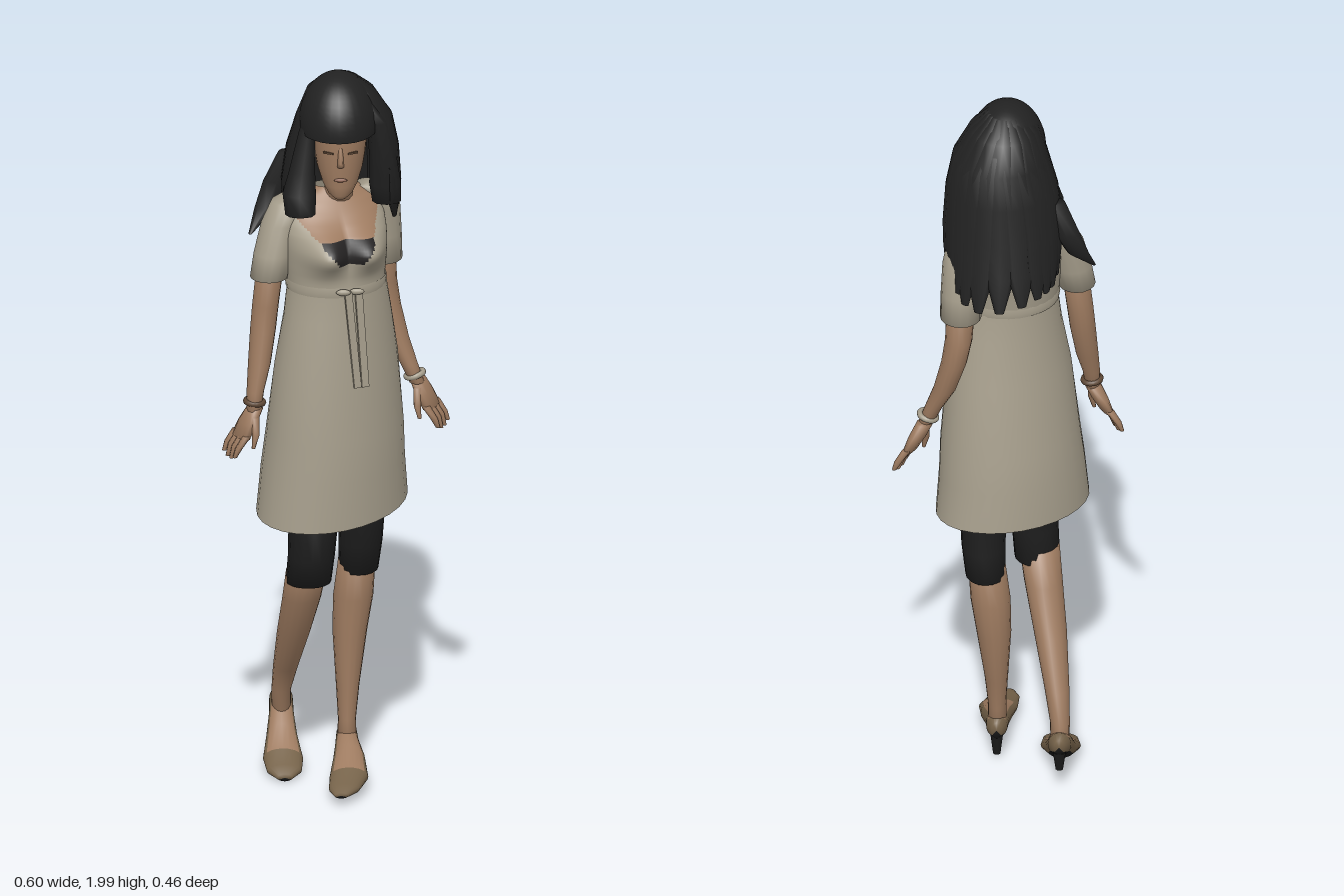
import * as THREE from 'three';

const mat = (name, color, side = THREE.FrontSide) => {
  const m = new THREE.MeshStandardMaterial({ color, side });
  m.name = name;
  return m;
};
const V = (x, y, z) => new THREE.Vector3(x, y, z);

// Horizontal ellipse section, front at angle PI/2; tilt is the rise along z
const ring = ([x, y, z, rx, rz, yaw = 0, tilt = 0]) => ({
  c: V(x, y, z),
  u: V(rx * Math.cos(yaw), -tilt * rx * Math.sin(yaw), -rx * Math.sin(yaw)),
  v: V(rz * Math.sin(yaw), tilt * rz * Math.cos(yaw), rz * Math.cos(yaw)),
});
// Upright section across z; the top is at angle PI/2
const slice = ([x, y, z, rx, ry]) => ({ c: V(x, y, z), u: V(rx, 0, 0), v: V(0, ry, 0) });

// Skin a surface through elliptical sections; pick(i, t) chooses a material index
function loft(sections, { seg = 16, caps = true, from = 0, to = Math.PI * 2, pick = () => 0 } = {}) {
  const closed = to - from > 6.28, cols = closed ? seg : seg + 1;
  const pos = [], buckets = [];
  const angle = (j) => from + (to - from) * j / seg;
  const add = (k, ...ids) => (buckets[k] ??= []).push(...ids);
  for (const { c, u, v } of sections) for (let j = 0; j < cols; j++) {
    const p = c.clone().addScaledVector(u, Math.cos(angle(j))).addScaledVector(v, Math.sin(angle(j)));
    pos.push(p.x, p.y, p.z);
  }
  for (let i = 0; i < sections.length - 1; i++) for (let j = 0; j < seg; j++) {
    const a = i * cols + j, b = i * cols + (j + 1) % cols;
    add(pick(i, angle(j + 0.5)), a, b, a + cols, b, b + cols, a + cols);
  }
  if (caps && closed) for (const i of [0, sections.length - 1]) {
    const n = pos.length / 3;
    pos.push(...sections[i].c.toArray());
    for (let j = 0; j < seg; j++) {
      const a = i * cols + j, b = i * cols + (j + 1) % cols;
      i ? add(pick(i - 1, angle(j + 0.5)), a, b, n) : add(pick(0, angle(j + 0.5)), b, a, n);
    }
  }
  // Turn the faces outward
  const o = sections[Math.floor(sections.length / 2)].c;
  const at = (i) => V(pos[3 * i], pos[3 * i + 1], pos[3 * i + 2]).sub(o);
  let volume = 0;
  for (const b of buckets) if (b) for (let k = 0; k < b.length; k += 3)
    volume += at(b[k]).dot(at(b[k + 1]).cross(at(b[k + 2])));
  const g = new THREE.BufferGeometry(), index = [];
  buckets.forEach((b, k) => {
    if (volume < 0) for (let q = 0; q < b.length; q += 3) [b[q], b[q + 1]] = [b[q + 1], b[q]];
    g.addGroup(index.length, b.length, k);
    index.push(...b);
  });
  g.setAttribute('position', new THREE.Float32BufferAttribute(pos, 3));
  g.setIndex(index);
  g.computeVertexNormals();
  return g;
}

export function createModel() {
  const model = new THREE.Group();
  model.name = 'standingWoman';
  const hair = mat('hair black', 0x222222, THREE.DoubleSide);
  const skin = mat('skin', 0x9e7b60);
  const dress = mat('dress beige', 0xa59d8b, THREE.DoubleSide);
  const shorts = mat('shorts black', 0x1e1e1e);
  const camisole = mat('camisole dark', 0x242222);
  const shoe = mat('shoe brown', 0x76634a);
  const sole = mat('sole black', 0x1a1a1a);
  const lip = mat('lips', 0x8c6250);
  const brown = mat('dark brown', 0x5e4836);
  const add = (name, geo, material) => {
    const m = new THREE.Mesh(geo, material);
    m.name = name;
    model.add(m);
    return m;
  };
  const body = (name, rows, material, opt) => add(name, loft(rows.map(ring), opt), material);

  // Skirt, open at the hem, wider from hip to hip
  body('skirt', [
    [-0.02, 0.78, 0, 0.226, 0.169, 0.76, -0.1], [-0.018, 0.9, 0.003, 0.211, 0.164, 0.74, -0.04],
    [-0.013, 1.0, 0.006, 0.2, 0.158, 0.72], [-0.009, 1.2, 0.017, 0.175, 0.134, 0.6],
    [-0.006, 1.33, 0.022, 0.147, 0.117, 0.42], [-0.008, 1.42, 0.024, 0.132, 0.112, 0.3],
  ], dress, { seg: 28, caps: false });
  body('waistband', [
    [-0.01, 1.405, 0.024, 0.134, 0.115, 0.3], [-0.01, 1.418, 0.024, 0.136, 0.117, 0.3],
    [-0.01, 1.432, 0.024, 0.134, 0.115, 0.3],
  ], dress, { seg: 28, caps: false });
  // Tie hanging from the waistband
  for (const [x, z, roll] of [[0.032, 0.145, 0.1], [0.056, 0.136, 0.07]]) {
    const r = add('tieRibbon', new THREE.BoxGeometry(0.02, 0.27, 0.008), dress);
    r.position.set(x, 1.29, z);
    r.rotation.set(-0.06, 0.35, roll);
  }
  for (const s of [-1, 1]) {
    const b = add('tieBow', new THREE.SphereGeometry(0.02, 10, 6), dress);
    b.scale.set(1, 0.45, 0.35);
    b.position.set(0.025 + s * 0.018, 1.423, 0.142 - s * 0.004);
  }

  // Bodice with a scooped neckline, turned to the model's left
  const coarse = [
    [0, 1.42, 0.025, 0.131, 0.113], [0, 1.47, 0.018, 0.136, 0.112], [0, 1.52, 0.006, 0.14, 0.108],
    [0, 1.56, -0.003, 0.143, 0.1], [0, 1.585, -0.01, 0.142, 0.09], [0, 1.61, -0.018, 0.136, 0.078],
    [0, 1.635, -0.025, 0.118, 0.064], [0, 1.655, -0.03, 0.085, 0.052], [0, 1.67, -0.03, 0.045, 0.04],
  ];
  const rows = [coarse[0]];
  for (let i = 1; i < coarse.length; i++) for (let k = 1; k <= 5; k++)
    rows.push(coarse[i].map((v, q) => THREE.MathUtils.lerp(coarse[i - 1][q], v, k / 5)));
  const torsoGeo = loft(rows.map(ring), {
    seg: 120, caps: false,
    pick: (i, t) => {
      const x = Math.abs(Math.cos(t)) * rows[i][3], y = rows[i][1];
      if (y > 1.652) return 2;
      if (Math.sin(t) < 0 || y < 1.5 || x > 0.035 + (y - 1.5) * 0.75) return 0;
      return y < 1.5585 ? 1 : 2;
    },
  });
  const p = torsoGeo.attributes.position;
  for (let i = 0; i < p.count; i++) if (p.getZ(i) > 0) {
    const dx = (Math.abs(p.getX(i)) - 0.06) / 0.06, dy = (p.getY(i) - 1.525) / 0.05;
    p.setZ(i, p.getZ(i) + 0.067 * Math.exp(-dx * dx - dy * dy));
  }
  torsoGeo.computeVertexNormals();
  const torso = add('bodice', torsoGeo, [dress, camisole, skin]);
  torso.position.x = -0.018;
  torso.rotation.y = 0.3;

  // Sleeves and arms
  body('leftSleeve', [[0.075, 1.655, -0.06, 0.03, 0.035], [0.1, 1.635, -0.075, 0.05, 0.05],
    [0.11, 1.58, -0.09, 0.052, 0.056], [0.112, 1.5, -0.103, 0.054, 0.058],
    [0.113, 1.425, -0.11, 0.055, 0.06]], dress);
  body('rightSleeve', [[-0.105, 1.655, 0, 0.03, 0.035], [-0.13, 1.635, 0.012, 0.05, 0.05],
    [-0.155, 1.58, 0.025, 0.052, 0.054], [-0.175, 1.5, 0.04, 0.052, 0.055],
    [-0.187, 1.435, 0.05, 0.05, 0.055]], dress);
  body('leftArm', [[0.112, 1.47, -0.108, 0.038, 0.04], [0.118, 1.36, -0.122, 0.036, 0.043],
    [0.13, 1.29, -0.122, 0.034, 0.042], [0.155, 1.2, -0.11, 0.03, 0.038],
    [0.185, 1.13, -0.094, 0.023, 0.027], [0.205, 1.08, -0.09, 0.02, 0.025]], skin);
  body('rightArm', [[-0.183, 1.47, 0.048, 0.036, 0.04], [-0.196, 1.36, 0.052, 0.035, 0.04],
    [-0.203, 1.29, 0.06, 0.034, 0.04], [-0.213, 1.2, 0.08, 0.03, 0.036],
    [-0.224, 1.13, 0.098, 0.023, 0.026], [-0.228, 1.08, 0.105, 0.02, 0.025]], skin);
  // Hands turned slightly outward, with four fingers and a thumb
  const hand = (name, s, x, y, z) => {
    const yaw = -s * 0.45;
    body(name, [[x, y, z, 0.022, 0.025, yaw], [x + s * 0.018, y - 0.04, z, 0.021, 0.038, yaw],
      [x + s * 0.036, y - 0.08, z, 0.015, 0.042, yaw]], skin, { seg: 12 });
    for (let i = -1.5; i < 2; i++) {
      const out = (d) => x + s * (d - i * 0.009);
      body('finger', [
        [out(0.034), y - 0.07, z + i * 0.019, 0.012, 0.012],
        [out(0.056), y - 0.105, z + i * 0.02, 0.01, 0.011],
        [out(0.066), y - 0.142 + Math.abs(i) * 0.008, z + i * 0.019, 0.006, 0.007],
      ], skin, { seg: 7 });
    }
    body('thumb', [[x, y - 0.02, z + 0.02, 0.012, 0.012], [x - s * 0.002, y - 0.065, z + 0.036, 0.01, 0.01],
      [x + s * 0.004, y - 0.1, z + 0.04, 0.005, 0.006]], skin, { seg: 7 });
  };
  hand('leftHand', 1, 0.208, 1.085, -0.104);
  hand('rightHand', -1, -0.226, 1.085, 0.105);
  for (const [name, m, x, z] of [['leftBracelet', dress, 0.2, -0.092], ['rightBracelet', brown, -0.226, 0.1]]) {
    const b = add(name, new THREE.TorusGeometry(0.023, 0.008, 8, 18), m);
    b.position.set(x, 1.1, z);
    b.rotation.set(Math.PI / 2, x > 0 ? 0.3 : -0.1, 0);
  }

  // Legs and shorts
  body('leftShorts', [[0.05, 0.98, 0, 0.078, 0.09], [0.057, 0.76, -0.008, 0.063, 0.082],
    [0.056, 0.66, -0.028, 0.058, 0.07], [0.05, 0.575, -0.04, 0.053, 0.061]], shorts);
  body('rightShorts', [[-0.06, 0.98, 0.03, 0.078, 0.09], [-0.07, 0.76, 0.075, 0.066, 0.086],
    [-0.076, 0.66, 0.085, 0.062, 0.072], [-0.083, 0.575, 0.055, 0.06, 0.06]], shorts);
  body('leftLeg', [[0.047, 0.61, -0.036, 0.049, 0.055], [0.037, 0.5, -0.04, 0.053, 0.058],
    [0.028, 0.4, -0.045, 0.046, 0.056], [0.022, 0.25, -0.03, 0.031, 0.042],
    [0.02, 0.16, -0.022, 0.024, 0.034], [0.02, 0.09, -0.018, 0.025, 0.036]], skin);
  body('rightLeg', [[-0.088, 0.61, 0.058, 0.054, 0.054], [-0.1, 0.52, 0.025, 0.051, 0.056],
    [-0.12, 0.4, -0.035, 0.044, 0.06], [-0.14, 0.27, -0.112, 0.033, 0.045],
    [-0.15, 0.19, -0.158, 0.026, 0.034], [-0.15, 0.12, -0.16, 0.025, 0.035]], skin);
  // Court shoes: bare instep, brown sides, dark sole, slim heel
  const foot = (name, list, hx, hz, top, bottom) => {
    add(name, loft(list.map(slice), {
      seg: 20,
      pick: (i, t) => Math.sin(t) < -0.7 ? 2 : i > 1 && i < list.length - 2 && Math.sin(t) > 0.5 ? 1 : 0,
    }), [shoe, skin, sole]);
    const h = add(name + 'Heel', new THREE.CylinderGeometry(0.018, 0.01, top - bottom, 10), sole);
    h.position.set(hx, (top + bottom) / 2, hz);
  };
  foot('leftShoe', [[0, 0.034, 0.23, 0.018, 0.008], [0.008, 0.038, 0.195, 0.04, 0.017],
    [0.022, 0.048, 0.13, 0.051, 0.027], [0.024, 0.072, 0.06, 0.042, 0.037],
    [0.02, 0.092, 0, 0.031, 0.04], [0.02, 0.1, -0.045, 0.028, 0.035],
    [0.02, 0.1, -0.068, 0.014, 0.024]], 0.02, -0.05, 0.085, 0.02);
  foot('rightShoe', [[-0.145, 0.016, 0.05, 0.02, 0.01], [-0.146, 0.024, 0.02, 0.046, 0.018],
    [-0.148, 0.038, -0.035, 0.053, 0.028], [-0.15, 0.075, -0.1, 0.041, 0.036],
    [-0.15, 0.118, -0.15, 0.033, 0.042], [-0.15, 0.145, -0.198, 0.031, 0.036],
    [-0.15, 0.152, -0.226, 0.014, 0.022]], -0.15, -0.208, 0.13, 0.075);

  // Neck, head and face
  body('neck', [[-0.008, 1.62, -0.015, 0.05, 0.045], [-0.004, 1.67, 0.002, 0.036, 0.038],
    [0, 1.75, 0.025, 0.036, 0.04]], skin);
  body('head', [[0, 1.672, 0.09, 0.016, 0.02], [0, 1.685, 0.08, 0.032, 0.042], [0, 1.71, 0.065, 0.047, 0.06],
    [0, 1.75, 0.045, 0.061, 0.083], [0, 1.79, 0.038, 0.068, 0.093], [0, 1.84, 0.034, 0.073, 0.097],
    [0, 1.89, 0.03, 0.074, 0.1]], skin, { seg: 20 });
  body('nose', [[0, 1.825, 0.125, 0.006, 0.006], [0, 1.785, 0.132, 0.008, 0.014],
    [0, 1.77, 0.127, 0.009, 0.009]], skin, { seg: 8 });
  const mouth = add('mouth', new THREE.SphereGeometry(0.018, 10, 6), lip);
  mouth.scale.set(1, 0.3, 0.25);
  mouth.position.set(0, 1.733, 0.127);
  for (const s of [-1, 1]) {
    const e = add('eyelashes', new THREE.BoxGeometry(0.028, 0.005, 0.006), brown);
    e.position.set(s * 0.032, 1.808, 0.121);
    e.rotation.y = s * 0.45;
  }

  // Hair: crown with a straight fringe, back curtain, and overlapping locks
  const crown = add('hairCrown', new THREE.SphereGeometry(1, 28, 14, 0, Math.PI * 2, 0, Math.PI * 0.54), hair);
  crown.scale.set(0.104, 0.137, 0.127);
  crown.position.set(-0.004, 1.863, 0.029);
  const open = 0.95;
  body('hairCurtain', [[0, 1.93, 0.005, 0.082, 0.082], [0, 1.87, -0.005, 0.11, 0.112],
    [0.002, 1.8, -0.01, 0.13, 0.122, 0.2], [0.005, 1.7, -0.028, 0.143, 0.122, 0.3],
    [0.005, 1.6, -0.05, 0.138, 0.118, 0.35]],
  hair, { seg: 26, caps: false, from: Math.PI / 2 + open, to: Math.PI * 2.5 - open });
  // Each station: x, y, z, radius across, radius back
  const path = [[0, 1.985, 0.022, 0.035, 0.04], [0.002, 1.945, 0.012, 0.078, 0.092], [0.012, 1.87, -0.006, 0.114, 0.115],
    [0.008, 1.78, -0.016, 0.136, 0.126], [0.005, 1.68, -0.028, 0.146, 0.132]];
  const count = 13;
  for (let k = 0; k < count; k++) {
    const a = 1.3 + (2 * Math.PI - 2.6) * k / (count - 1), wob = Math.sin(k * 7.3);
    const tip = 1.56 + 0.06 * Math.cos(a) + 0.012 * wob;
    const stations = [...path, [0.005, (1.68 + tip) / 2, -0.045, 0.144, 0.138], [0.005, tip, -0.06, 0.146, 0.15]];
    body('hairLock', stations.map(([x, y, z, rx, rz], i) => {
      const b = a + 0.04 * wob * i / 2, w = [0.012, 0.028, 0.042, 0.045, 0.045, 0.038, 0.012][i];
      return [x + rx * Math.sin(b), y, z + rz * Math.cos(b), w, i === 6 ? 0.005 : 0.013, b];
    }), hair, { seg: 8 });
  }
  body('strayLock', [[-0.13, 1.75, -0.05, 0.03, 0.02], [-0.165, 1.66, -0.065, 0.035, 0.02],
    [-0.195, 1.59, -0.05, 0.028, 0.016], [-0.235, 1.53, -0.012, 0.005, 0.005]], hair, { seg: 8 });
  body('rightFrontLock', [[-0.055, 1.935, 0.05, 0.018, 0.03], [-0.086, 1.85, 0.06, 0.022, 0.036],
    [-0.1, 1.74, 0.065, 0.034, 0.035], [-0.108, 1.68, 0.078, 0.044, 0.04],
    [-0.105, 1.625, 0.095, 0.04, 0.03]], hair, { seg: 8 });
  body('leftFrontLock', [[0.06, 1.935, 0.045, 0.022, 0.03], [0.098, 1.87, 0.045, 0.028, 0.036],
    [0.114, 1.76, 0.03, 0.036, 0.038], [0.12, 1.68, 0.01, 0.042, 0.036],
    [0.124, 1.625, 0, 0.038, 0.03]], hair, { seg: 8 });

  return model;
}
